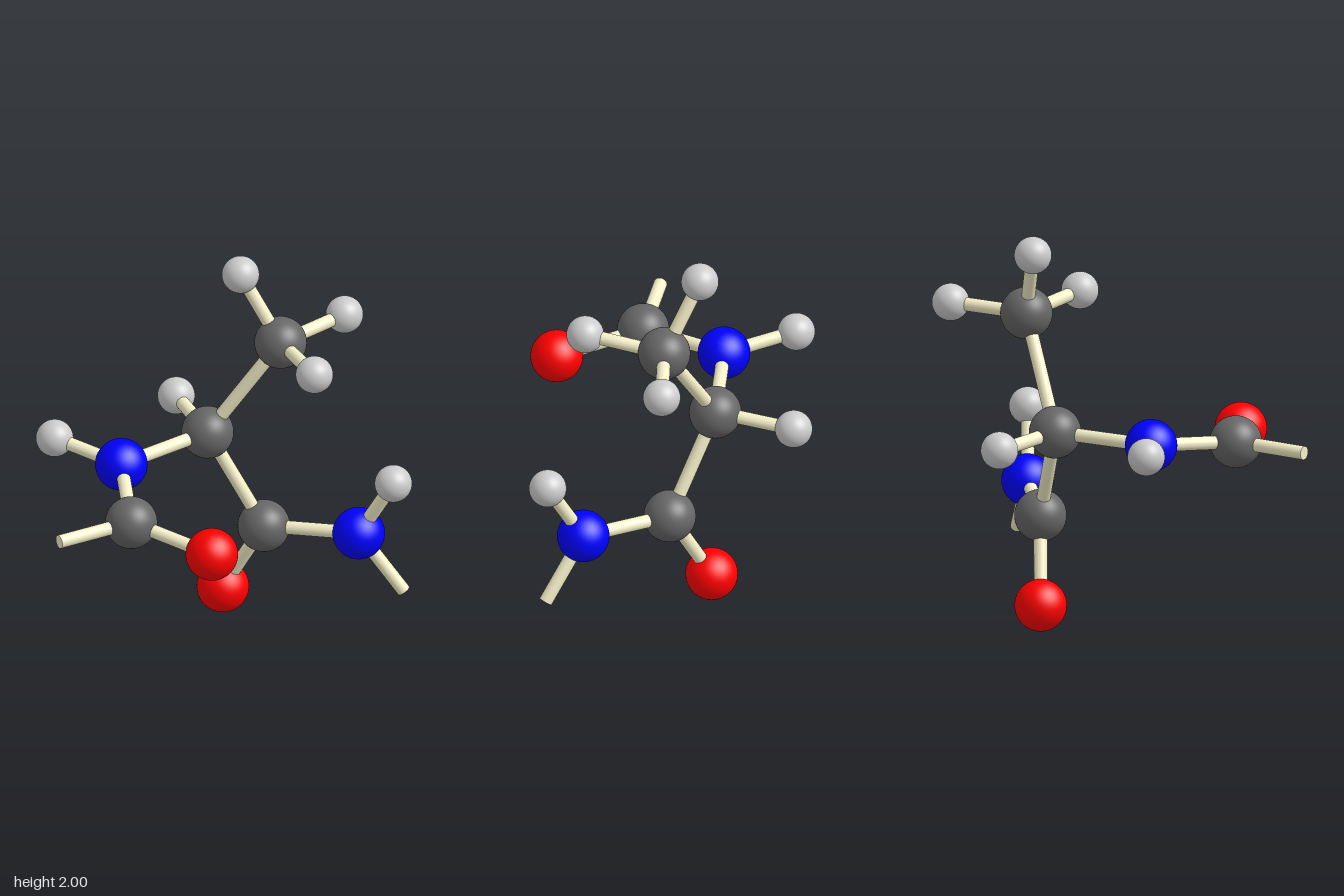
import * as THREE from 'three';

const ELEMENTS = {
  carbon: { radius: 0.13, color: 0x666666 },
  nitrogen: { radius: 0.13, color: 0x0000ff },
  oxygen: { radius: 0.13, color: 0xff0000 },
  hydrogen: { radius: 0.093, color: 0xcccccc },
};

// name: [element, x, y, z]
const ATOMS = {
  alphaCarbon: ['carbon', -0.108, 1.034, -0.35],
  alphaHydrogen: ['hydrogen', -0.308, 1.025, -0.71],
  methylCarbon: ['carbon', 0.253, 1.555, -0.377],
  methylHydrogenTop: ['hydrogen', 0.049, 1.907, -0.413],
  methylHydrogenFront: ['hydrogen', 0.464, 1.585, -0.025],
  methylHydrogenBack: ['hydrogen', 0.535, 1.564, -0.677],
  rightNitrogen: ['nitrogen', -0.493, 1.034, 0.02],
  rightAmideHydrogen: ['hydrogen', -0.843, 1.078, -0.125],
  frontCarbon: ['carbon', -0.385, 0.982, 0.5],
  frontOxygen: ['oxygen', 0.037, 0.926, 0.67],
  lowerCarbon: ['carbon', 0.175, 0.532, -0.33],
  lowerOxygen: ['oxygen', -0.038, 0.132, -0.402],
  leftNitrogen: ['nitrogen', 0.66, 0.578, -0.232],
  leftAmideHydrogen: ['hydrogen', 0.84, 0.908, -0.17],
};

const BONDS = [
  ['alphaCarbon', 'alphaHydrogen'],
  ['alphaCarbon', 'methylCarbon'],
  ['alphaCarbon', 'rightNitrogen'],
  ['alphaCarbon', 'lowerCarbon'],
  ['methylCarbon', 'methylHydrogenTop'],
  ['methylCarbon', 'methylHydrogenFront'],
  ['methylCarbon', 'methylHydrogenBack'],
  ['rightNitrogen', 'rightAmideHydrogen'],
  ['rightNitrogen', 'frontCarbon'],
  ['frontCarbon', 'frontOxygen'],
  ['lowerCarbon', 'lowerOxygen'],
  ['lowerCarbon', 'leftNitrogen'],
  ['leftNitrogen', 'leftAmideHydrogen'],
];

// Open chain ends: bonds that stop in space
const OPEN_BONDS = [
  ['frontCarbon', [-0.715, 0.988, 0.745]],
  ['leftNitrogen', [0.888, 0.278, -0.209]],
];

const BOND_RADIUS = 0.034;
const UP = new THREE.Vector3(0, 1, 0);

export function createModel() {
  const model = new THREE.Group();
  model.name = 'moleculeModel';
  const bondMaterial = new THREE.MeshStandardMaterial({ color: 0xf5f0c8 });
  const position = (name) => new THREE.Vector3(...ATOMS[name].slice(1));

  // Atoms, sharing one geometry and material per element
  const kit = {};
  for (const [element, { radius, color }] of Object.entries(ELEMENTS)) {
    kit[element] = {
      geometry: new THREE.SphereGeometry(radius, 48, 32),
      material: new THREE.MeshStandardMaterial({ color }),
    };
  }
  for (const [name, [element]] of Object.entries(ATOMS)) {
    const atom = new THREE.Mesh(kit[element].geometry, kit[element].material);
    atom.name = name;
    atom.position.copy(position(name));
    model.add(atom);
  }

  // Round rod between two points
  const addBond = (name, a, b) => {
    const direction = b.clone().sub(a);
    const rod = new THREE.Mesh(
      new THREE.CylinderGeometry(BOND_RADIUS, BOND_RADIUS, direction.length(), 24),
      bondMaterial,
    );
    rod.name = name;
    rod.position.copy(a).lerp(b, 0.5);
    rod.quaternion.setFromUnitVectors(UP, direction.normalize());
    model.add(rod);
  };
  for (const [a, b] of BONDS) addBond(`${a} to ${b} bond`, position(a), position(b));
  for (const [a, end] of OPEN_BONDS) {
    addBond(`${a} open bond`, position(a), new THREE.Vector3(...end));
  }

  return model;
}
